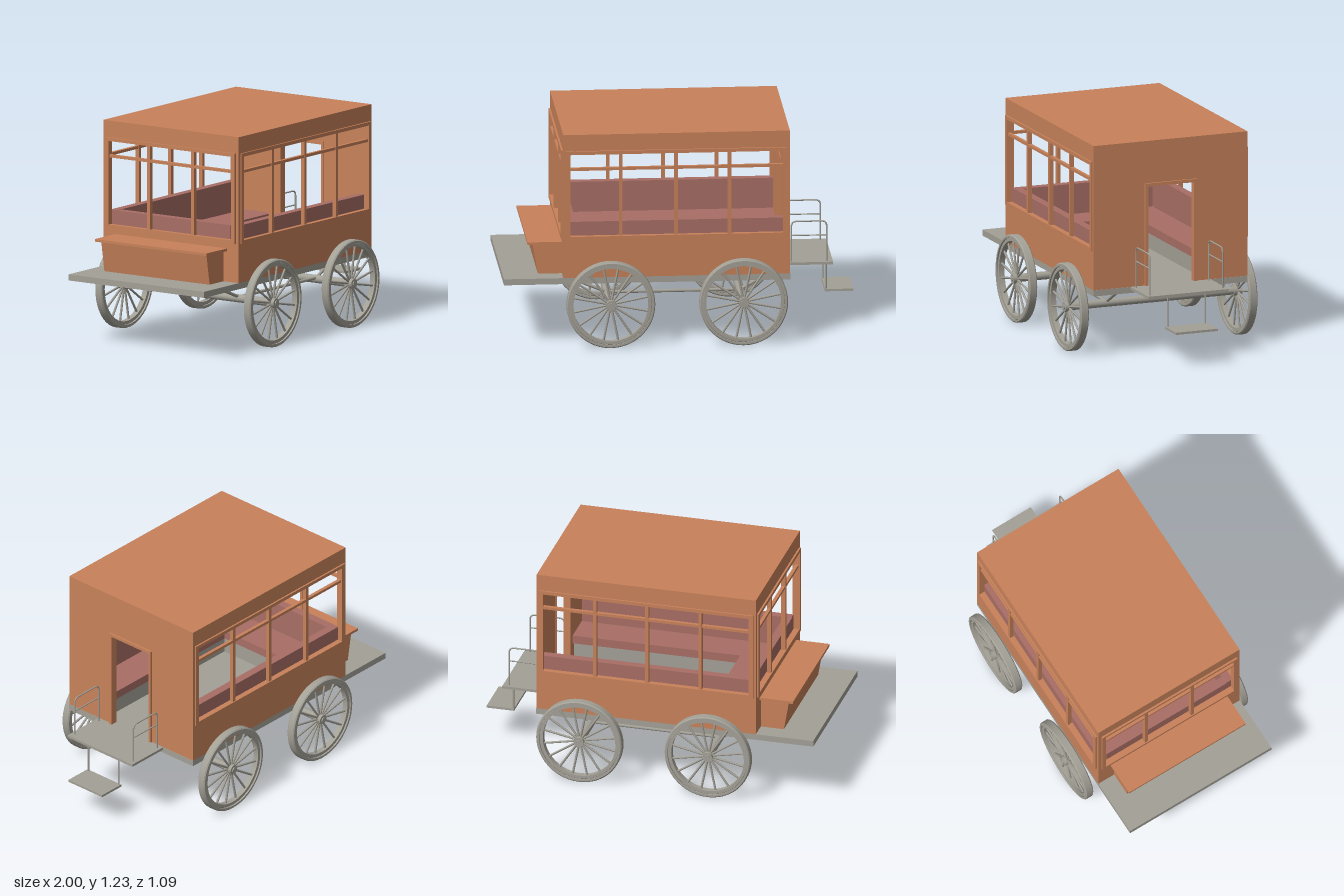
import * as THREE from 'three';

const wood = new THREE.MeshStandardMaterial({ color: 0xc8825a });
wood.name = 'orange wood';
const grey = new THREE.MeshStandardMaterial({ color: 0xa3a096 });
grey.name = 'warm grey';
const red = new THREE.MeshStandardMaterial({ color: 0xa86e65 });
red.name = 'dusty red cushion';

function add(parent, name, geo, mat) {
  const m = new THREE.Mesh(geo, mat);
  m.name = name;
  parent.add(m);
  return m;
}

// Box given by its extents on each axis
function box(parent, name, mat, [x0, x1], [y0, y1], [z0, z1]) {
  const m = add(parent, name, new THREE.BoxGeometry(x1 - x0, y1 - y0, z1 - z0), mat);
  m.position.set((x0 + x1) / 2, (y0 + y1) / 2, (z0 + z1) / 2);
  return m;
}

// Round bar between two points
function bar(parent, name, mat, a, b, r, sides = 10) {
  const p = new THREE.Vector3(...a), q = new THREE.Vector3(...b);
  const m = add(parent, name, new THREE.CylinderGeometry(r, r, p.distanceTo(q), sides), mat);
  m.position.copy(p).add(q).multiplyScalar(0.5);
  m.quaternion.setFromUnitVectors(new THREE.Vector3(0, 1, 0), q.sub(p).normalize());
  return m;
}

function rect(Type, [u0, u1], [v0, v1]) {
  const s = new Type();
  s.moveTo(u0, v0); s.lineTo(u1, v0); s.lineTo(u1, v1); s.lineTo(u0, v1);
  s.closePath();
  return s;
}

// Flat panel with a rectangular opening, extruded along +z
function panel(u, v, hu, hv, depth) {
  const s = rect(THREE.Shape, u, v);
  s.holes.push(rect(THREE.Path, hu, hv));
  return new THREE.ExtrudeGeometry(s, { depth, bevelEnabled: false });
}

// Polyline path with rounded corners
function roundedPath(pts, radius, closed) {
  const P = pts.map(p => new THREE.Vector3(...p));
  const path = new THREE.CurvePath(), n = P.length;
  const cut = (i, j) => P[i].clone().add(P[j].clone().sub(P[i]).setLength(radius));
  let last = closed ? cut(0, 1) : P[0];
  for (let k = 1; k < (closed ? n + 1 : n - 1); k++) {
    const i = k % n, a = cut(i, (i + n - 1) % n), b = cut(i, (i + 1) % n);
    path.add(new THREE.LineCurve3(last, a));
    path.add(new THREE.QuadraticBezierCurve3(a, P[i], b));
    last = b;
  }
  if (!closed) path.add(new THREE.LineCurve3(last, P[n - 1]));
  return path;
}

// Ring with softened edges around the z axis
function ring(r0, r1, w, c) {
  const h = w / 2;
  const pts = [[r0, -h], [r1 - c, -h], [r1, -h + c], [r1, h - c], [r1 - c, h], [r0, h], [r0, -h]];
  const profile = [];
  // Doubled corners keep the side faces flat
  pts.forEach(([x, y]) => profile.push(new THREE.Vector2(x, y), new THREE.Vector2(x, y)));
  return new THREE.LatheGeometry(profile, 48).rotateX(Math.PI / 2);
}

function makeWheel() {
  const g = new THREE.Group();
  g.name = 'wheel';
  add(g, 'tyre', ring(0.232, 0.25, 0.05, 0.006), grey);
  add(g, 'rim', ring(0.212, 0.234, 0.034, 0.004), grey);
  add(g, 'hub', new THREE.CylinderGeometry(0.028, 0.028, 0.05, 20).rotateX(Math.PI / 2), grey);
  add(g, 'hubCap', new THREE.CylinderGeometry(0.015, 0.015, 0.062, 16).rotateX(Math.PI / 2), grey);
  for (let i = 0; i < 16; i++) {
    const a = (i + 0.5) * Math.PI / 8, c = Math.cos(a), s = Math.sin(a);
    bar(g, 'spoke', grey, [c * 0.02, s * 0.02, 0], [c * 0.218, s * 0.218, 0], 0.0065, 8);
  }
  return g;
}

function addBody(g) {
  box(g, 'roof', wood, [-0.665, 0.615], [1.13, 1.235], [-0.47, 0.47]);

  // Side walls with framed windows
  for (const s of [1, -1]) {
    const side = new THREE.Group();
    side.name = 'sideWall';
    side.rotation.y = s > 0 ? 0 : Math.PI;
    const X = (a, b) => (s > 0 ? [a, b] : [-b, -a]);
    add(side, 'wallPanel', panel(X(-0.665, 0.615), [0.4, 1.14], X(-0.628, 0.578), [0.64, 1.122], 0.025), wood).position.z = 0.445;
    add(side, 'windowFrame', panel(X(-0.65, 0.6), [0.622, 1.14], X(-0.626, 0.576), [0.642, 1.12], 0.012), wood).position.z = 0.468;
    for (const x of [-0.34, -0.028, 0.274]) box(side, 'windowPost', wood, X(x - 0.01, x + 0.01), [0.635, 1.125], [0.45, 0.474]);
    box(side, 'windowRail', wood, X(-0.63, 0.58), [1.025, 1.041], [0.452, 0.472]);
    g.add(side);
  }

  // Open end behind the driver
  const end = new THREE.Group();
  end.name = 'drivingEndWall';
  end.rotation.y = -Math.PI / 2;
  add(end, 'wallPanel', panel([-0.445, 0.445], [0.4, 1.14], [-0.428, 0.428], [0.64, 1.122], 0.025), wood).position.z = 0.64;
  add(end, 'windowFrame', panel([-0.45, 0.45], [0.622, 1.14], [-0.426, 0.426], [0.642, 1.12], 0.012), wood).position.z = 0.664;
  for (const z of [-0.152, 0.152]) box(end, 'windowPost', wood, [z - 0.01, z + 0.01], [0.635, 1.125], [0.645, 0.67]);
  box(end, 'windowRail', wood, [-0.43, 0.43], [1.025, 1.041], [0.648, 0.668]);
  g.add(end);

  // Solid end with doorway
  const back = new THREE.Group();
  back.name = 'doorWall';
  back.rotation.y = Math.PI / 2;
  for (const s of [-1, 1]) {
    box(back, 'wallPanel', wood, s > 0 ? [0.14, 0.445] : [-0.445, -0.14], [0.4, 1.14], [0.59, 0.615]);
    box(back, 'doorJamb', wood, s > 0 ? [0.14, 0.158] : [-0.158, -0.14], [0.4, 0.973], [0.585, 0.626]);
  }
  box(back, 'wallAboveDoor', wood, [-0.14, 0.14], [0.973, 1.14], [0.59, 0.615]);
  box(back, 'doorLintel', wood, [-0.158, 0.158], [0.973, 0.991], [0.585, 0.626]);
  g.add(back);
}

function addSeats(g) {
  for (const s of [-1, 1]) {
    const Z = (a, b) => (s > 0 ? [a, b] : [-b, -a]);
    box(g, 'sideBenchBase', grey, [-0.635, 0.585], [0.4, 0.497], Z(0.215, 0.443));
    box(g, 'sideBenchCushion', red, [-0.635, 0.588], [0.497, 0.545], Z(0.2, 0.443));
    box(g, 'sideBenchBack', red, [-0.635, 0.588], [0.545, 0.72], Z(0.395, 0.443));
  }
  box(g, 'endBenchBase', grey, [-0.638, -0.405], [0.4, 0.497], [-0.215, 0.215]);
  box(g, 'endBenchCushion', red, [-0.638, -0.39], [0.497, 0.545], [-0.2, 0.2]);
  box(g, 'endBenchBack', red, [-0.638, -0.59], [0.545, 0.719], [-0.395, 0.395]);
}

function addDriverBox(g) {
  box(g, 'driverSeatBoard', wood, [-0.86, -0.665], [0.575, 0.59], [-0.388, 0.388]);
  const s = new THREE.Shape();
  s.moveTo(-0.8, 0.4); s.lineTo(-0.665, 0.4); s.lineTo(-0.665, 0.575); s.lineTo(-0.83, 0.575);
  s.closePath();
  add(g, 'driverSeatBox', new THREE.ExtrudeGeometry(s, { depth: 0.73, bevelEnabled: false }), wood).position.z = -0.365;
}

function addRearPlatform(g) {
  box(g, 'rearPlatform', grey, [0.615, 0.877], [0.385, 0.4], [-0.245, 0.245]);
  box(g, 'step', grey, [0.84, 1], [0.195, 0.208], [-0.128, 0.128]);
  for (const s of [-1, 1]) {
    bar(g, 'stepHanger', grey, [0.847, 0.2, s * 0.115], [0.847, 0.388, s * 0.115], 0.005);
    const z = s * 0.222;
    const path = roundedPath([[0.643, 0.395, z], [0.643, 0.634, z], [0.842, 0.634, z], [0.842, 0.395, z]], 0.03, false);
    add(g, 'handrail', new THREE.TubeGeometry(path, 90, 0.0045, 8), grey);
    bar(g, 'handrailMiddle', grey, [0.643, 0.552, z], [0.842, 0.552, z], 0.004, 8);
  }
}

function addRunningGear(g) {
  for (const x of [-0.4, 0.35]) {
    bar(g, 'axle', grey, [x, 0.254, -0.535], [x, 0.254, 0.535], 0.023, 20);
    for (const s of [-1, 1]) {
      const w = makeWheel();
      w.position.set(x, 0.253, s * 0.515);
      g.add(w);
    }
  }
  // Long looped springs joining both axles to the floor
  for (const z of [-0.28, 0, 0.28]) {
    const path = roundedPath([[-0.61, 0.347, z], [-0.4, 0.27, z], [0.35, 0.27, z], [0.5, 0.347, z]].map(p => [p[0], p[1] - (p[1] < 0.3 ? 0.008 : 0), z]), 0.02, true);
    add(g, 'springLoop', new THREE.TubeGeometry(path, 160, 0.0095, 8, true), grey);
  }
}

export function createModel() {
  const g = new THREE.Group();
  g.name = 'passengerWagon';
  box(g, 'floor', grey, [-1, 0.617], [0.365, 0.4], [-0.47, 0.47]);
  addBody(g);
  addSeats(g);
  addDriverBox(g);
  addRearPlatform(g);
  addRunningGear(g);
  return g;
}
